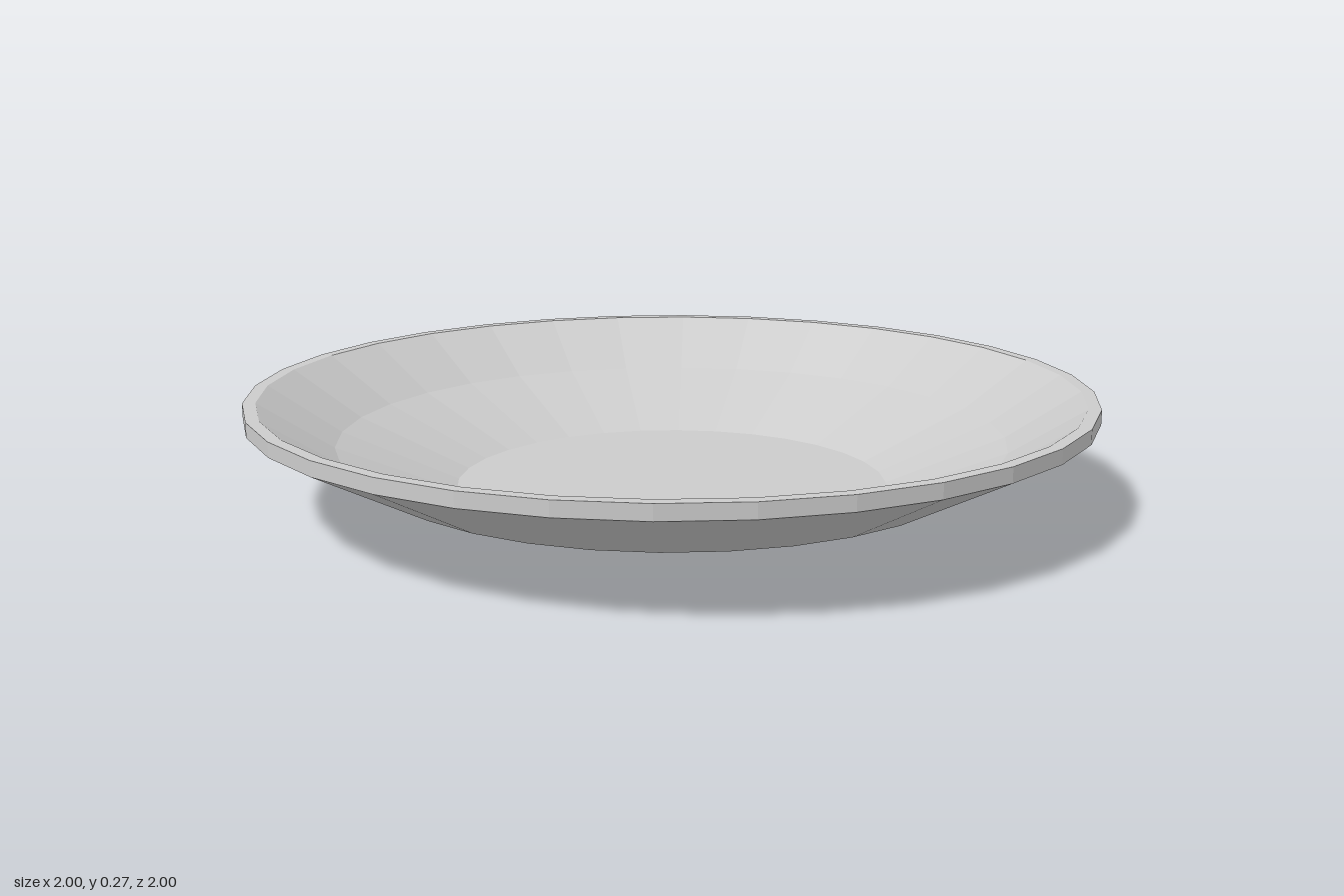
import * as THREE from 'three';

export function createModel() {
  const group = new THREE.Group();
  group.name = 'dish';

  // Closed half profile: underside, outer rim, then down the inside to the centre
  const profile = [
    [0, 0], [0.43, 0], [0.715, 0.085], [1, 0.235], // underside
    [1, 0.27], [0.97, 0.27], // rim
    [0.795, 0.157], [0.515, 0.043], [0, 0.043], // inside
  ].map(([r, y]) => new THREE.Vector2(r, y));

  const bowl = new THREE.Mesh(
    new THREE.LatheGeometry(profile, 32),
    new THREE.MeshStandardMaterial({ color: 0xcccccc, flatShading: true })
  );
  bowl.name = 'plate';
  group.add(bowl);
  return group;
}
